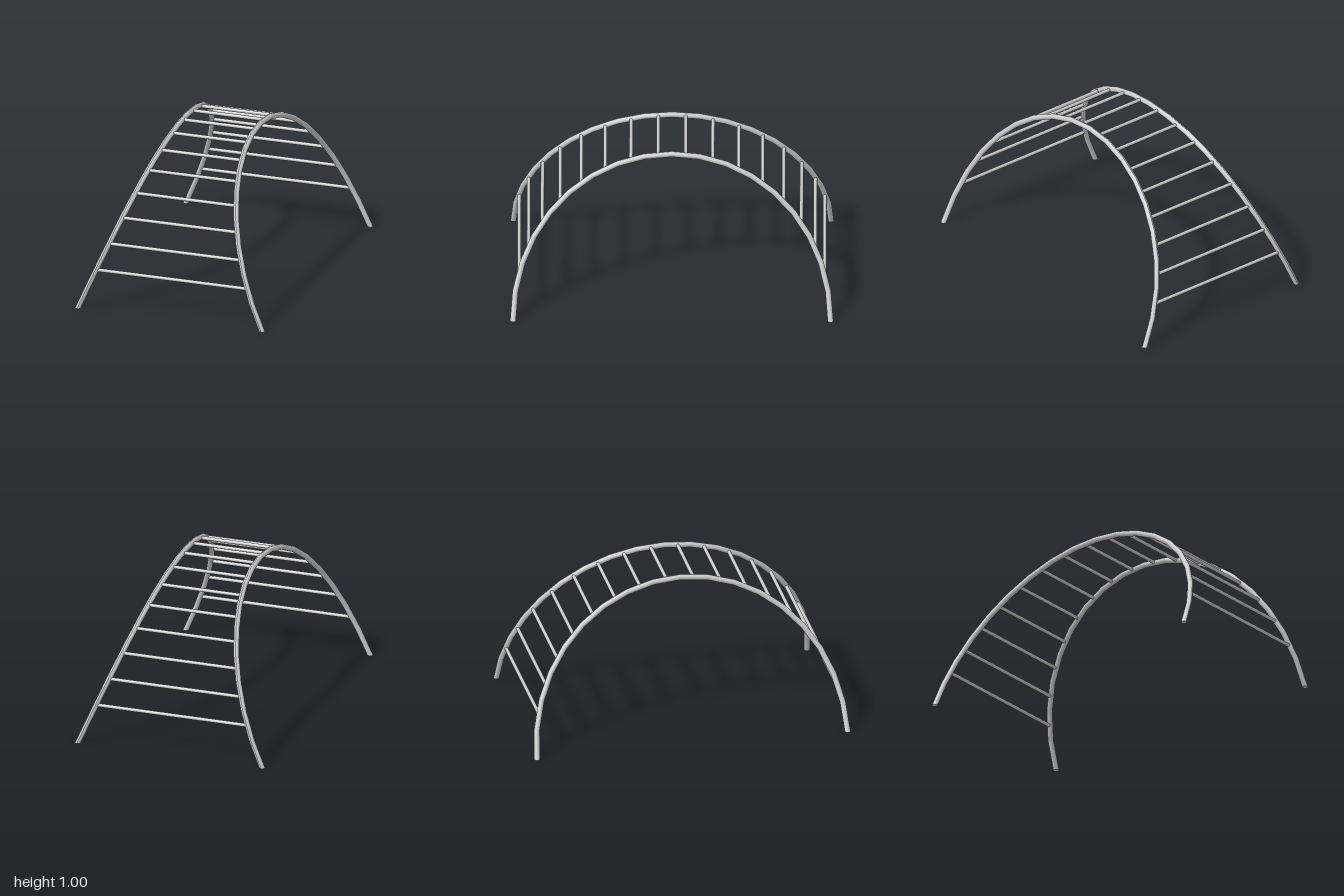
import * as THREE from 'three';

const R = 0.982;        // arch radius
const TUBE = 0.018;     // rail radius
const RUNG = 0.0115;    // rung radius
const STEPS = 18;       // straight pieces per arch

const material = new THREE.MeshStandardMaterial({ color: 0xcccccc });

// Sideways distance of a rail from the middle: narrow at the top, splayed at the feet
function spread(angle) {
  const u = 1 - Math.sin(angle);
  return 0.239 + 0.367 * (0.8 * u + 0.2 * u * u);
}

// Half-circle tube whose rings are shifted sideways by the spread rule
function railGeometry(side) {
  const geo = new THREE.TorusGeometry(R, TUBE, 12, STEPS, Math.PI);
  geo.rotateY(-Math.PI / 2);
  const pos = geo.attributes.position;
  for (let i = 0; i < pos.count; i++) {
    const angle = Math.PI * (i % (STEPS + 1)) / STEPS;
    pos.setX(i, pos.getX(i) + side * spread(angle));
  }
  geo.computeVertexNormals();
  return geo;
}

export function createModel() {
  const model = new THREE.Group();
  model.name = 'climbingArch';

  const add = (geo, name, x, y, z) => {
    const mesh = new THREE.Mesh(geo, material);
    mesh.name = name;
    mesh.position.set(x, y, z);
    model.add(mesh);
    return mesh;
  };

  // Rails with closed feet
  const foot = new THREE.CircleGeometry(TUBE, 12).rotateX(Math.PI / 2);
  for (const side of [1, -1]) {
    const label = side > 0 ? 'left' : 'right';
    add(railGeometry(side), label + 'Rail', 0, 0, 0);
    for (const end of [1, -1]) {
      add(foot, label + (end > 0 ? 'Front' : 'Back') + 'Foot', side * spread(0), 0, end * R);
    }
  }

  // Rungs join the middles of the rail pieces, leaving the lowest pieces free
  const step = Math.PI / STEPS;
  const r = R * Math.cos(step / 2);
  for (let i = 1; i < STEPS - 1; i++) {
    const half = (spread(i * step) + spread((i + 1) * step)) / 2;
    const a = (i + 0.5) * step;
    const geo = new THREE.CylinderGeometry(RUNG, RUNG, 2 * half, 10).rotateZ(Math.PI / 2);
    add(geo, 'rung' + i, 0, r * Math.sin(a), r * Math.cos(a));
  }

  return model;
}
